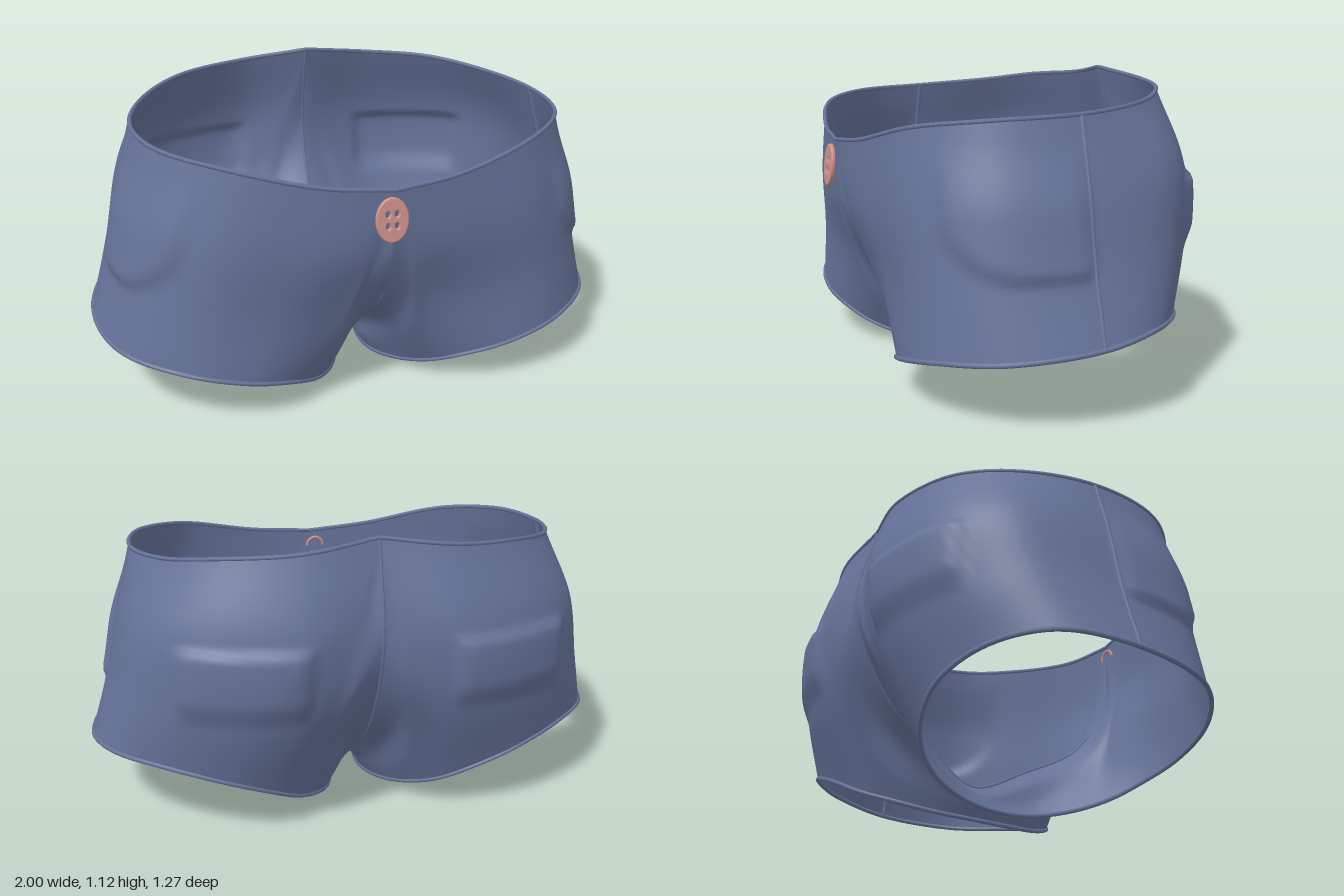
import * as THREE from 'three';
import { mergeVertices } from 'three/addons/utils/BufferGeometryUtils.js';

const denim = new THREE.MeshStandardMaterial({ color: 0x66749a, side: THREE.DoubleSide });
denim.name = 'denim blue';
const pink = new THREE.MeshStandardMaterial({ color: 0xce908a });
pink.name = 'button pink';

const V = (x, y, z) => new THREE.Vector3(x, y, z);
const curve = (pts, closed = false) =>
  new THREE.CatmullRomCurve3(pts.map((p) => V(...p)), closed);

// Loops of the left half, 16 stations each: front centre, round the hip, back centre, crotch.
const waist = curve([[0, .865, .6], [.25, .89, .575], [.56, .96, .485], [.75, .99, .3], [.8, 1.005, 0],
  [.7, 1.03, -.28], [.53, 1.06, -.44], [.27, 1.08, -.525], [0, 1.112, -.495]]);
const centreSeam = curve([[0, 1.112, -.495], [0, .75, -.565], [0, .42, -.43], [0, .21, -.21], [0, .115, -.06],
  [0, .215, .18], [0, .36, .43], [0, .61, .577], [0, .865, .6]]);
const upperRing = curve([[.1, .62, .577], [.33, .65, .565], [.62, .7, .495], [.81, .75, .31], [.865, .77, 0],
  [.8, .8, -.33], [.61, .8, -.515], [.3, .78, -.61], [.12, .78, -.58], [.1, .58, -.56],
  [.09, .33, -.39], [.05, .15, -.2], [.03, .08, -.03], [.04, .15, .17], [.07, .28, .4], [.09, .45, .515]], true);
const lowerRing = curve([[.2, .38, .505], [.41, .4, .525], [.67, .44, .485], [.86, .48, .32], [.92, .51, 0],
  [.86, .54, -.3], [.69, .53, -.475], [.44, .52, -.575], [.27, .5, -.575], [.2, .36, -.49],
  [.14, .18, -.35], [.08, .08, -.18], [.045, .05, -.02], [.055, .07, .16], [.11, .16, .35], [.14, .26, .455]], true);
const hem = curve([[.34, .12, .48], [.5, .165, .52], [.71, .215, .485], [.92, .25, .31], [.99, .28, 0],
  [.92, .31, -.25], [.75, .3, -.4], [.55, .25, -.47], [.4, .19, -.46], [.27, .12, -.4],
  [.17, .07, -.3], [.1, .03, -.16], [.065, .011, 0], [.08, .011, .15], [.14, .03, .28], [.23, .07, .4]], true);

// Cloth surface: u = 0..16 round the loops, v = 0 at waist and centre seam, 1 at the leg hem.
function cloth(u, v) {
  const w = ((u % 16) + 16) % 16;
  const top = w <= 8 ? waist.getPoint(w / 8) : centreSeam.getPoint((w - 8) / 8);
  return new THREE.CatmullRomCurve3(
    [top, upperRing.getPoint(w / 16), lowerRing.getPoint(w / 16), hem.getPoint(w / 16)]).getPoint(v);
}

// Point raised off the cloth by h.
function raised(u, v, h) {
  const e = .02;
  const du = cloth(u + e, v).sub(cloth(u - e, v));
  const dv = cloth(u, Math.min(1, v + e)).sub(cloth(u, Math.max(0, v - e)));
  return cloth(u, v).addScaledVector(dv.cross(du).normalize(), h);
}

// Height of the pockets pressed into the cloth: square at the back, round-cornered at the front.
const ramp = (d, width) => THREE.MathUtils.smoothstep(d, 0, width);
function pocketHeight({ x, y, z }) {
  if (z < -.2) {
    return .024 * ramp(Math.min(x - .24, .72 - x), .05) * ramp(y - .48, .12) * ramp(.785 - y, .04);
  }
  if (z < 0 || x < .4) return 0;
  const corner = Math.hypot(Math.max(0, z - .25) / .21, Math.max(0, .68 - y) / .2);
  return .02 * ramp(1 - corner, .2) * ramp(z, .04) * ramp(.93 - y, .25);
}

// Smooth shell of both halves, welded along the centre seam.
function shell(ns, nt) {
  const pos = [], index = [];
  for (const side of [1, -1]) {
    const base = pos.length / 3;
    for (let j = 0; j <= nt; j++) for (let i = 0; i <= ns; i++) {
      const u = 16 * i / ns, v = j / nt;
      let p = cloth(u, v);
      const h = pocketHeight(p);
      if (h > 0) p = raised(u, v, h);
      pos.push(p.x * side, p.y, p.z);
    }
    for (let j = 0; j < nt; j++) for (let i = 0; i < ns; i++) {
      const a = base + j * (ns + 1) + i, b = a + 1, c = a + ns + 1, d = c + 1;
      if (side > 0) index.push(a, c, b, b, c, d);
      else index.push(a, b, c, b, d, c);
    }
  }
  let g = new THREE.BufferGeometry();
  g.setAttribute('position', new THREE.Float32BufferAttribute(pos, 3));
  g.setIndex(index);
  g = mergeVertices(g, 1e-5);
  g.computeVertexNormals();
  return g;
}

export function createModel() {
  const group = new THREE.Group();
  const add = (name, geometry, material = denim, parent = group) => {
    const m = new THREE.Mesh(geometry, material);
    m.name = name;
    parent.add(m);
    return m;
  };

  // Both halves of the shorts with their pockets
  add('shortsBody', shell(160, 44));

  // Rolled waist edge around the full opening
  const half = waist.getPoints(32);
  const mirrored = half.slice(1, -1).reverse().map((p) => V(-p.x, p.y, p.z));
  add('waistEdge', new THREE.TubeGeometry(
    new THREE.CatmullRomCurve3([...half, ...mirrored], true), 120, .008, 6, true));

  // Centre seam from the back of the waist, under the crotch and up to the fly
  add('centreSeam', new THREE.TubeGeometry(
    new THREE.CatmullRomCurve3(centreSeam.getPoints(64).slice(0, 52)), 80, .006, 6));

  for (const side of [1, -1]) {
    const name = side > 0 ? 'left' : 'right';
    const flip = (p) => V(p.x * side, p.y, p.z);

    // Rolled leg hem
    add(name + 'LegHem', new THREE.TubeGeometry(
      new THREE.CatmullRomCurve3(hem.getPoints(64).slice(0, -1).map(flip), true), 100, .009, 6, true));

    // Side seam ridge, sunk into the cloth
    const seam = [];
    for (let i = 0; i <= 10; i++) seam.push(flip(raised(4, i / 10, -.002)));
    add(name + 'SideSeam', new THREE.TubeGeometry(new THREE.CatmullRomCurve3(seam), 30, .009, 6));
  }

  // Oval button with four holes and a bevelled edge, leaning back on the cloth
  const face = new THREE.Shape().absellipse(0, 0, .054, .074, 0, Math.PI * 2);
  for (const x of [-1, 1]) for (const y of [-1, 1]) {
    face.holes.push(new THREE.Path().absellipse(x * .016, y * .021, .013, .016, 0, Math.PI * 2, true));
  }
  const button = add('button', new THREE.ExtrudeGeometry(face, {
    depth: .006, bevelThickness: .005, bevelSize: .005, bevelSegments: 3, curveSegments: 20,
  }), pink);
  button.position.set(-.02, .768, .618);
  button.rotation.x = -.1;

  // Thread loop holding the button on the inside
  const loop = add('buttonThread', new THREE.TorusGeometry(.035, .006, 6, 16, Math.PI), pink);
  loop.position.set(-.02, .8, .588);

  return group;
}
